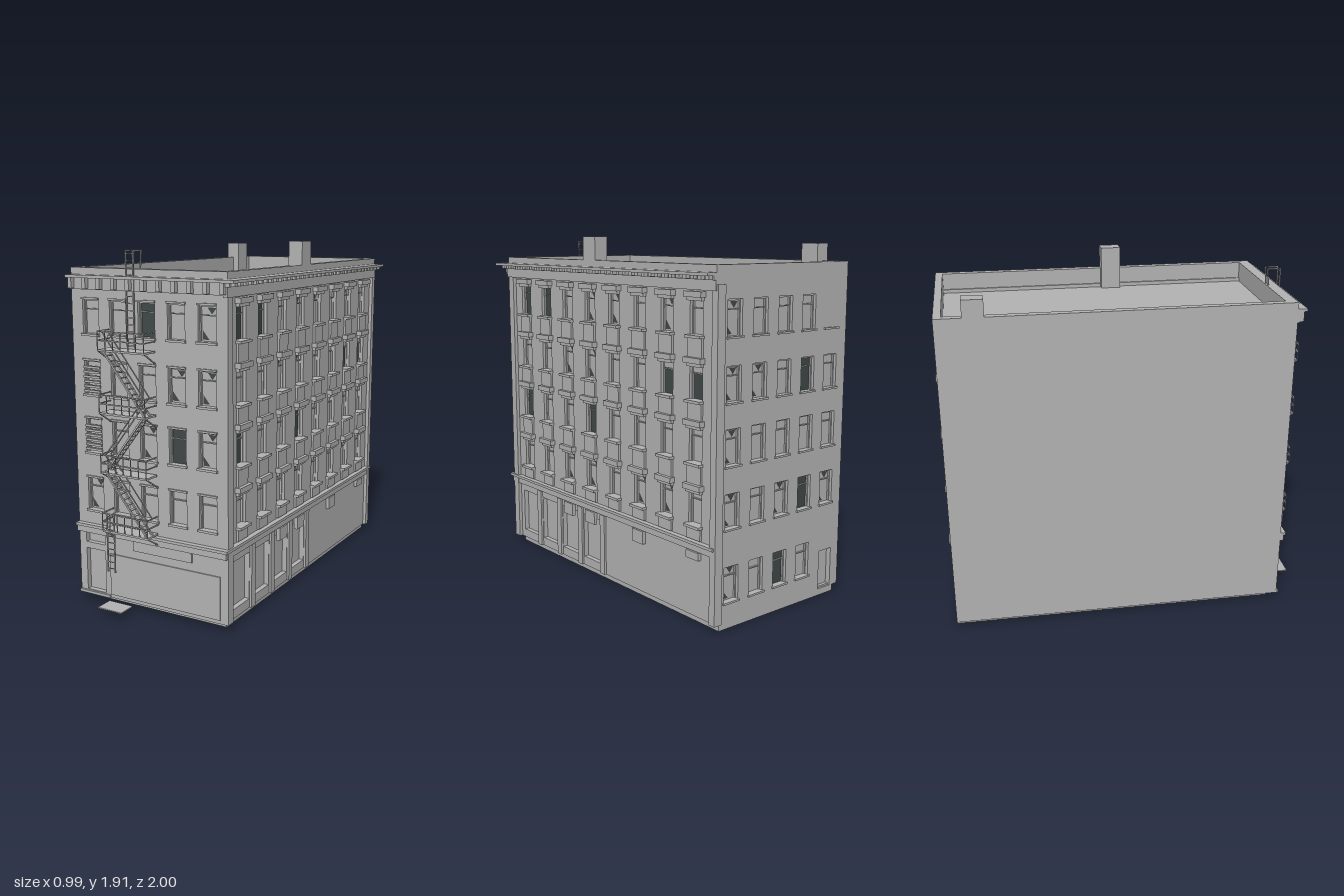
import * as THREE from 'three';

const stone = new THREE.MeshStandardMaterial({ color: 0xb3b3b3 });
stone.name = 'stone grey';
const dark = new THREE.MeshStandardMaterial({ color: 0x404848 });
dark.name = 'dark interior';

// Box given by its minimum and maximum corners
function box(parent, name, x0, x1, y0, y1, z0, z1, mat = stone) {
  const m = new THREE.Mesh(new THREE.BoxGeometry(x1 - x0, y1 - y0, z1 - z0), mat);
  m.position.set((x0 + x1) / 2, (y0 + y1) / 2, (z0 + z1) / 2);
  m.name = name;
  parent.add(m);
  return m;
}

// Square iron bar between two points
function bar(parent, name, a, b, t = 0.006) {
  const p = new THREE.Vector3(...a), q = new THREE.Vector3(...b);
  const m = new THREE.Mesh(new THREE.BoxGeometry(t, t, p.distanceTo(q)), stone);
  m.position.copy(p).add(q).multiplyScalar(0.5);
  m.lookAt(q);
  m.name = name;
  parent.add(m);
}

// Wall with rectangular openings [u0, u1, y0, y1]; local z points outward
function wall(parent, name, u0, u1, y0, y1, openings) {
  const rect = (s, a, b, c, d) => s.moveTo(a, c).lineTo(b, c).lineTo(b, d).lineTo(a, d).closePath();
  const shape = rect(new THREE.Shape(), u0, u1, y0, y1);
  for (const o of openings) shape.holes.push(rect(new THREE.Path(), ...o));
  const geo = new THREE.ExtrudeGeometry(shape, { depth: 0.03, bevelEnabled: false });
  geo.translate(0, 0, -0.03);
  const m = new THREE.Mesh(geo, stone);
  m.name = name;
  parent.add(m);
}

// Pane, sash bar and, where kind is 'broken', dark gaps in the glass
function windowFill(parent, u, w, y0, y1, kind) {
  const a = u - w / 2, b = u + w / 2, mid = (y0 + y1) / 2;
  box(parent, 'windowPane', a, b, y0, y1, -0.034, -0.026, kind === 'dark' ? dark : stone);
  for (const s of [a, b - 0.006]) box(parent, 'windowJamb', s, s + 0.006, y0, y1, -0.026, -0.016);
  box(parent, 'windowHead', a, b, y1 - 0.008, y1, -0.026, -0.016);
  box(parent, 'sashRail', a, b, mid + 0.035, mid + 0.041, -0.026, -0.018);
  if (kind === 'broken') {
    const gap = new THREE.Shape().moveTo(a + 0.012, y0 + 0.008).lineTo(a + 0.05, y0 + 0.008).lineTo(a + 0.012, y0 + 0.055).closePath();
    const top = new THREE.Shape().moveTo(b - 0.01, y1 - 0.012).lineTo(b - 0.06, y1 - 0.012).lineTo(b - 0.035, y1 - 0.045).closePath();
    const g = new THREE.Mesh(new THREE.ShapeGeometry([gap, top]), dark);
    dark.side = THREE.DoubleSide;
    g.position.z = -0.024;
    g.name = 'brokenGlassGap';
    parent.add(g);
  }
}

const rows = [[1.455, 1.63], [1.14, 1.315], [0.83, 1.01], [0.515, 0.69]];
const cols = [-0.38, -0.21, -0.035, 0.14, 0.315];
const kindOf = (key, darks, broken) => darks.includes(key) ? 'dark' : broken.includes(key) ? 'broken' : 'plain';

function frontFacade() {
  const g = new THREE.Group();
  g.name = 'frontFacade';
  g.position.z = 0.86;
  const door = [-0.455, -0.33, 0.055, 0.29], transom = [-0.455, -0.33, 0.325, 0.385], shop = [-0.295, 0.385, 0.055, 0.285];
  const holes = [door, transom];
  rows.forEach(([a, b], r) => cols.forEach((u, c) => {
    holes.push([u - 0.05, u + 0.05, a, b]);
    windowFill(g, u, 0.1, a, b, kindOf(`${r}${c}`, ['02', '23'], ['04', '13', '14', '22', '24', '30']));
    box(g, 'windowSill', u - 0.057, u + 0.057, a - 0.012, a, -0.02, 0.012);
    box(g, 'windowHood', u - 0.055, u + 0.055, b, b + 0.01, -0.01, 0.008);
    // Slatted boards over the left windows
    if (c === 0 && (r === 1 || r === 2)) for (let i = 0; i < 6; i++)
      box(g, 'windowSlat', u - 0.052, u + 0.052, a + 0.01 + i * 0.025, a + 0.022 + i * 0.025, -0.01, 0.008);
  }));
  wall(g, 'frontWall', -0.5, 0.41, 0.035, 1.7, holes);
  for (const o of [door, transom]) box(g, 'doorPanel', ...o, -0.036, -0.028);
  box(g, 'shopfrontPanel', ...shop, 0, 0.006);
  box(g, 'signBoard', -0.14, 0.22, 0.33, 0.385, 0, 0.01);
  box(g, 'doorStep', -0.5, -0.3, 0.035, 0.05, 0, 0.012);
  return g;
}

function sideFacade() {
  const g = new THREE.Group();
  g.name = 'rightFacade';
  g.rotation.y = Math.PI / 2;
  g.position.x = 0.41;
  const holes = [];
  for (let c = 0; c < 8; c++) {
    const u = -0.695 + c * 0.218;
    rows.forEach(([a, b], r) => {
      holes.push([u - 0.046, u + 0.046, a, b]);
      const kind = kindOf(`${r}${c}`, ['00', '01', '20', '23', '16', '17'], ['03', '04', '06', '12', '13', '32', '33', '35', '36']);
      windowFill(g, u, 0.092, a, b, kind);
      if (r === 1 && c > 5) box(g, 'upperBoard', u - 0.046, u + 0.046, 1.27, b, -0.026, -0.02);
      box(g, 'windowSill', u - 0.056, u + 0.056, a - 0.014, a, -0.02, 0.03);
      box(g, 'windowLintel', u - 0.063, u + 0.063, b + 0.005, b + 0.033, 0, 0.032);
      box(g, 'lintelFoot', u - 0.053, u + 0.053, b - 0.012, b + 0.005, 0, 0.018);
      const low = r < 3 ? rows[r + 1][1] + 0.033 : 0.44;
      box(g, 'spandrel', u - 0.05, u + 0.05, low, a - 0.014, 0, 0.012);
    });
  }
  // Four shop bays sunk between pilasters
  for (let i = 0; i < 4; i++) {
    const u = -0.775 + i * 0.217;
    holes.push([u, u + 0.165, 0.085, 0.34]);
    box(g, 'shopBay', u, u + 0.165, 0.085, 0.34, -0.036, -0.028);
    box(g, 'pilaster', u + 0.17, u + 0.212, 0.035, 0.38, 0, 0.012);
  }
  for (const [u, y] of [[-0.257, 0.31], [-0.04, 0.31], [0.395, 0.31], [0.832, 0.34]])
    box(g, 'ledgeBlock', u - 0.045, u + 0.045, y, 0.38, 0, 0.02);
  wall(g, 'rightWall', -0.86, 1, 0.035, 1.7, holes);
  for (const [a, b] of [[-0.86, -0.81], [0.96, 1]]) box(g, 'cornerPier', a, b, 0.035, 1.7, 0, 0.02);
  return g;
}

function backFacade() {
  const g = new THREE.Group();
  g.name = 'backFacade';
  g.rotation.y = Math.PI;
  g.position.z = -0.99;
  const holes = [[0.345, 0.44, 0.036, 0.25]];
  [...rows, [0.14, 0.32]].forEach(([a, b], r) => cols.forEach((x, c) => {
    const u = -0.31 + c * 0.173;
    if (r < 4 || c < 4) box(g, 'windowSill', u - 0.055, u + 0.055, a - 0.01, a, -0.02, 0.01);
    if (c === 4 && (r === 0 || r === 4)) return;
    holes.push([u - 0.048, u + 0.048, a, b]);
    windowFill(g, u, 0.096, a, b, kindOf(`${r}${c}`, ['13', '33', '42'], ['00', '10', '11', '20', '30', '32', '34', '40']));
  }));
  wall(g, 'backWall', -0.41, 0.5, 0.035, 1.7, holes);
  box(g, 'backDoor', 0.345, 0.44, 0.036, 0.25, -0.036, -0.028);
  return g;
}

function roofAndCornice() {
  const g = new THREE.Group();
  g.name = 'roof';
  box(g, 'roofDeck', -0.49, 0.4, 1.66, 1.68, -0.98, 0.85);
  box(g, 'leftParapet', -0.5, -0.46, 1.68, 1.79, -0.99, 0.86);
  box(g, 'rightParapet', 0.39, 0.43, 1.68, 1.79, -0.99, 0.86);
  box(g, 'backParapet', -0.5, 0.43, 1.68, 1.79, -0.99, -0.95);
  box(g, 'frontParapet', -0.5, 0.43, 1.68, 1.79, 0.8, 0.86);
  box(g, 'frontFrieze', -0.5, 0.43, 1.68, 1.74, 0.86, 0.87);
  box(g, 'frontCornice', -0.5, 0.49, 1.74, 1.755, 0.86, 0.91);
  box(g, 'sideCornice', 0.43, 0.49, 1.74, 1.755, -0.99, 0.91);
  box(g, 'sideMoulding', 0.41, 0.45, 1.72, 1.74, -0.99, 0.88);
  box(g, 'sideFrieze', 0.41, 0.435, 1.67, 1.72, -0.99, 0.87);
  for (let i = 0; i < 11; i++) {
    const x = -0.495 + i * 0.09;
    box(g, 'corniceBracket', x, x + 0.022, 1.685, 1.74, 0.87, 0.895);
  }
  for (let i = 0; i < 36; i++) {
    const z = -0.98 + i * 0.052;
    box(g, 'dentil', 0.45, 0.472, 1.722, 1.74, z, z + 0.024);
  }
  box(g, 'tallChimney', 0.35, 0.43, 1.68, 1.915, -0.04, 0.07);
  box(g, 'shortChimney', -0.5, -0.42, 1.68, 1.88, -0.85, -0.74);
  return g;
}

// Ladder with two rails and rungs
function ladder(g, x0, x1, y0, y1, z) {
  for (const x of [x0, x1]) bar(g, 'ladderRail', [x, y0, z], [x, y1, z]);
  for (let y = y0 + 0.02; y < y1; y += 0.035) bar(g, 'ladderRung', [x0, y, z], [x1, y, z], 0.004);
}

function fireEscape() {
  const g = new THREE.Group();
  g.name = 'fireEscape';
  const levels = [1.39, 1.07, 0.76, 0.45], x0 = -0.26, x1 = 0.02, z0 = 0.87, z1 = 0.965;
  levels.forEach((y, i) => {
    box(g, 'landing', x0, x1, y - 0.006, y + 0.004, z0, z1);
    for (const h of [0.05, 0.095]) {
      bar(g, 'guardRail', [x0, y + h, z1], [x1, y + h, z1]);
      for (const x of [x0, x1]) bar(g, 'guardRail', [x, y + h, z0], [x, y + h, z1]);
    }
    for (let k = 0; k <= 6; k++) {
      const x = x0 + (x1 - x0) * k / 6;
      bar(g, 'baluster', [x, y, z1], [x, y + 0.095, z1], 0.004);
    }
    for (const x of [x0, x1]) bar(g, 'brace', [x, y, z1], [x, y - 0.06, z0]);
    // Flight down to the next landing, alternating direction
    if (i === 3) return;
    const n = levels[i + 1], a = i % 2 ? x1 - 0.02 : x0 + 0.02, b = i % 2 ? x0 + 0.02 : x1 - 0.01;
    for (const z of [0.905, 0.95]) {
      bar(g, 'stairStringer', [a, y, z], [b, n, z], 0.009);
      bar(g, 'handRail', [a, y + 0.09, z], [b, n + 0.09, z], 0.005);
    }
    for (let k = 1; k < 12; k++) {
      const x = a + (b - a) * k / 12, h = y + (n - y) * k / 12;
      box(g, 'stairTread', x - 0.009, x + 0.009, h - 0.002, h + 0.002, 0.905, 0.95);
    }
  });
  ladder(g, -0.235, -0.19, 0.23, 0.55, 0.96);
  ladder(g, -0.143, -0.1, 1.39, 1.88, 0.872);
  for (const x of [-0.143, -0.1]) {
    bar(g, 'ladderHook', [x, 1.88, 0.872], [x, 1.88, 0.8]);
    bar(g, 'ladderHook', [x, 1.88, 0.8], [x, 1.79, 0.81]);
  }
  box(g, 'groundPlate', -0.28, -0.13, 0.03, 0.036, 0.9, 1);
  return g;
}

export function createModel() {
  const model = new THREE.Group();
  model.name = 'apartmentBlock';
  box(model, 'base', -0.46, 0.39, 0, 0.035, -0.99, 0.81);
  box(model, 'floor', -0.49, 0.4, 0.035, 0.045, -0.98, 0.85);
  box(model, 'leftWall', -0.5, -0.47, 0.035, 1.7, -0.99, 0.86);
  model.add(frontFacade(), sideFacade(), backFacade(), roofAndCornice(), fireEscape());
  // Ledge above the ground floor on the two street sides
  for (const [y0, y1, d] of [[0.385, 0.42, 0.018], [0.42, 0.435, 0.03]]) {
    box(model, 'frontLedge', -0.5, 0.41 + d, y0, y1, 0.85, 0.86 + d);
    box(model, 'sideLedge', 0.4, 0.41 + d, y0, y1, -0.99, 0.85);
  }
  return model;
}
